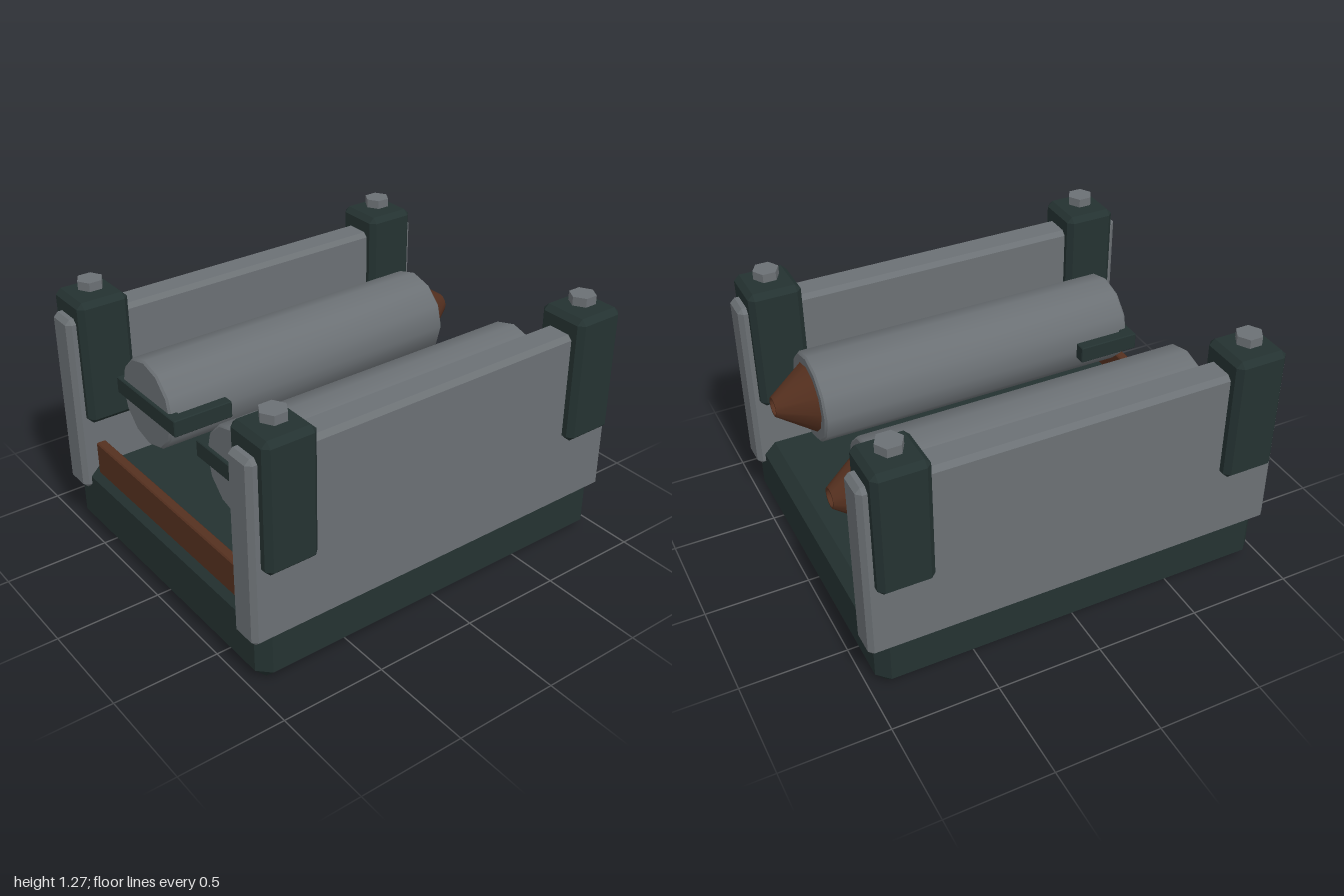
import * as THREE from 'three';
import { ConvexGeometry } from 'three/addons/geometries/ConvexGeometry.js';
import { toCreasedNormals } from 'three/addons/utils/BufferGeometryUtils.js';

const material = (name, color) => {
  const m = new THREE.MeshStandardMaterial({ color });
  m.name = name;
  return m;
};

// Box between two corners with every edge chamfered by c
function chamferBox([x0, y0, z0], [x1, y1, z1], c) {
  const half = [(x1 - x0) / 2, (y1 - y0) / 2, (z1 - z0) / 2];
  const points = [];
  for (const sx of [-1, 1]) for (const sy of [-1, 1]) for (const sz of [-1, 1]) {
    for (let axis = 0; axis < 3; axis++) {
      const [x, y, z] = half.map((h, i) => (i === axis ? h : h - c));
      points.push(new THREE.Vector3(sx * x, sy * y, sz * z));
    }
  }
  return new ConvexGeometry(points).translate((x0 + x1) / 2, (y0 + y1) / 2, (z0 + z1) / 2);
}

// Turned part along z from [radius, z] pairs
function turned(profile, sides) {
  const points = profile.map(([r, z]) => new THREE.Vector2(r, z));
  return toCreasedNormals(new THREE.LatheGeometry(points, sides).rotateX(Math.PI / 2), 0.6);
}

export function createModel() {
  const model = new THREE.Group();
  model.name = 'twinTankCradle';
  const dark = material('darkGreen', 0x243231);
  const grey = material('steelGrey', 0x6b7074);
  const rust = material('rustBrown', 0x55301f);

  const add = (parent, name, geometry, mat, x = 0, y = 0, z = 0) => {
    const mesh = new THREE.Mesh(geometry, mat);
    mesh.name = name;
    mesh.position.set(x, y, z);
    parent.add(mesh);
    return mesh;
  };

  // Base slab and front strip
  add(model, 'base', chamferBox([-0.793, 0, -0.963], [0.793, 0.345, 0.963], 0.055), dark);
  add(model, 'frontStrip', chamferBox([-0.62, 0.315, 0.884], [0.62, 0.483, 0.932], 0.006), rust);

  // Shared geometries
  const panel = chamferBox([-0.077, 0.228, -1], [0.077, 1.122, 1], 0.022);
  const post = chamferBox([-0.127, 0.59, -0.127], [0.127, 1.207, 0.127], 0.026);
  const bolt = new THREE.CylinderGeometry(0.062, 0.062, 0.042, 6).toNonIndexed();
  bolt.computeVertexNormals();
  const tank = turned([[0, -0.797], [0.208, -0.797], [0.218, -0.787], [0.218, 0.777], [0.208, 0.787], [0, 0.787]], 12);
  const nozzle = turned([[0, -0.9], [0.036, -0.9], [0.04, -0.97], [0.048, -0.97], [0.167, -0.796]], 12);
  const clampBar = chamferBox([-0.275, 0.72, 0.745], [0.275, 0.803, 0.803], 0.004);
  const clampArm = chamferBox([-0.028, 0.72, 0.5], [0.028, 0.803, 0.76], 0.004);

  for (const side of [1, -1]) {
    const half = new THREE.Group();
    half.name = side > 0 ? 'leftSide' : 'rightSide';
    model.add(half);

    // Side wall with corner posts and hex bolts
    add(half, 'sidePanel', panel, grey, side * 0.722);
    for (const end of [1, -1]) {
      add(half, 'cornerPost', post, dark, side * 0.725, 0, end * 0.829);
      add(half, 'bolt', bolt, grey, side * 0.725, 1.245, end * 0.829);
    }

    // Tank with rear nozzle
    add(half, 'tank', tank, grey, side * 0.363, 0.762);
    add(half, 'nozzle', nozzle, rust, side * 0.363, 0.762);

    // U-shaped clamp around the tank's front end
    add(half, 'clampBar', clampBar, dark, side * 0.365);
    for (const offset of [-0.247, 0.247]) add(half, 'clampArm', clampArm, dark, side * 0.365 + offset);
  }
  return model;
}
